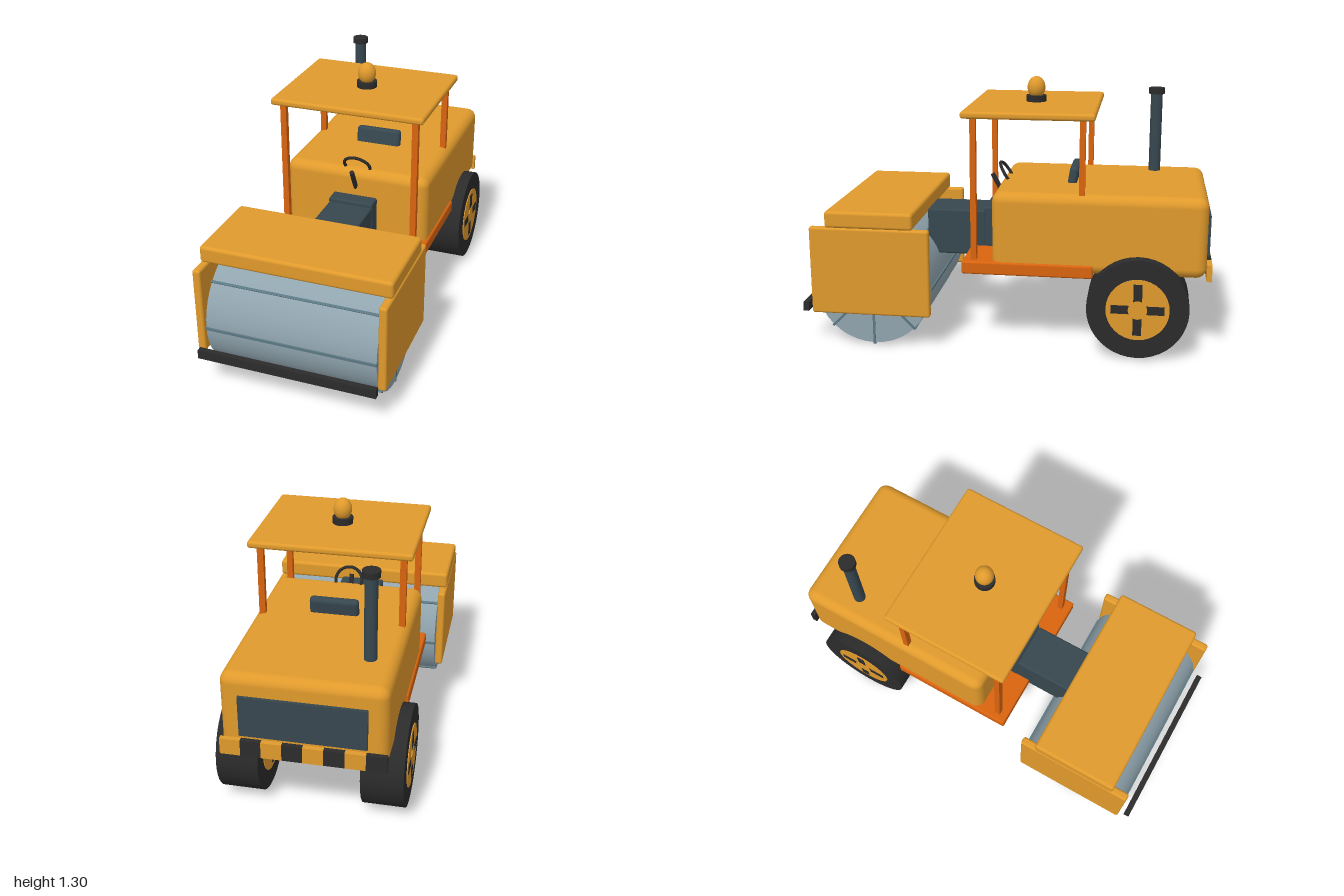
import * as THREE from 'three';
import { RoundedBoxGeometry } from 'three/addons/geometries/RoundedBoxGeometry.js';

const mat = (name, color) => {
  const m = new THREE.MeshStandardMaterial({ color });
  m.name = name;
  return m;
};

export function createModel() {
  const amber = mat('amber paint', 0xe09a2c);
  const orange = mat('orange paint', 0xd9640f);
  const slate = mat('dark slate', 0x37474f);
  const steel = mat('drum steel', 0x90a4ae);
  const darkSteel = mat('dark steel', 0x5b7882);
  const black = mat('black rubber', 0x2b2b2b);

  const model = new THREE.Group();
  model.name = 'roadRoller';

  const add = (name, geometry, material, x, y, z, parent = model) => {
    const mesh = new THREE.Mesh(geometry, material);
    mesh.name = name;
    mesh.position.set(x, y, z);
    parent.add(mesh);
    return mesh;
  };
  // Box given by its lower and upper limits, optionally rounded
  const box = (name, material, [x0, x1], [y0, y1], [z0, z1], r = 0) => {
    const size = [x1 - x0, y1 - y0, z1 - z0];
    const geometry = r ? new RoundedBoxGeometry(...size, 3, r) : new THREE.BoxGeometry(...size);
    return add(name, geometry, material, (x0 + x1) / 2, (y0 + y1) / 2, (z0 + z1) / 2);
  };
  const cyl = (r, h, sides = 32) => new THREE.CylinderGeometry(r, r, h, sides);
  const axial = (r, h, sides) => cyl(r, h, sides).rotateZ(Math.PI / 2);

  // Rear body, platform and articulated neck
  box('engineBody', amber, [-0.38, 0.38], [0.395, 0.79], [-0.975, 0.06], 0.05);
  box('platform', orange, [-0.39, 0.39], [0.38, 0.445], [-0.435, 0.205], 0.01);
  box('neckPivot', slate, [-0.117, 0.117], [0.395, 0.65], [0.04, 0.135], 0.01);
  box('neck', slate, [-0.115, 0.115], [0.395, 0.63], [0.13, 0.43], 0.01);

  // Canopy on four posts
  box('canopyRoof', amber, [-0.39, 0.39], [1.145, 1.18], [-0.435, 0.205], 0.014);
  for (const x of [-0.34, 0.34]) {
    for (const z of [0.15, -0.375]) {
      box('canopyPost', orange, [x - 0.015, x + 0.015], [0.44, 1.15], [z - 0.014, z + 0.014]);
    }
  }

  // Beacon
  add('beaconBase', cyl(0.05, 0.032), black, 0, 1.195, -0.115);
  add('beaconDome', new THREE.SphereGeometry(0.045, 24, 16), amber, 0, 1.25, -0.115).scale.y = 1.22;

  // Exhaust stack
  add('exhaustPipe', cyl(0.03, 0.44, 24), slate, -0.25, 0.98, -0.715);
  add('exhaustCap', cyl(0.041, 0.03, 24), black, -0.25, 1.21, -0.715);

  // Seat back and steering gear
  add('seatBack', new RoundedBoxGeometry(0.24, 0.16, 0.045, 3, 0.018), slate, 0, 0.79, -0.31)
    .rotation.x = -0.15;
  add('steeringColumn', cyl(0.012, 0.2, 16), black, 0, 0.712, 0.062).rotation.x = 0.5;
  add('steeringWheel', new THREE.TorusGeometry(0.068, 0.008, 10, 32), black, 0, 0.803, 0.03)
    .rotation.x = 0.57;

  // Rear grille and striped bumper
  box('rearGrille', slate, [-0.29, 0.29], [0.49, 0.69], [-0.99, -0.97]);
  const stripe = 0.76 / 8;
  for (let i = 0; i < 8; i++) {
    const x = -0.38 + i * stripe;
    box('bumperStripe', i % 2 ? amber : black, [x, x + stripe], [0.39, 0.47], [-1, -0.975]);
  }

  // Rear wheels: tyre, hub showing on both faces, and crossed slots
  for (const side of [-1, 1]) {
    const wheel = new THREE.Group();
    wheel.name = side > 0 ? 'leftWheel' : 'rightWheel';
    wheel.position.set(side * 0.34, 0.255, -0.655);
    model.add(wheel);
    add('tyre', axial(0.245, 0.2, 40), black, 0, 0, 0, wheel);
    add('hub', axial(0.152, 0.208, 32), amber, 0, 0, 0, wheel);
    add('hubSlot', new THREE.BoxGeometry(0.213, 0.256, 0.042), black, 0, 0, 0, wheel);
    add('hubSlot', new THREE.BoxGeometry(0.213, 0.042, 0.256), black, 0, 0, 0, wheel);
    add('hubCentre', axial(0.046, 0.217, 24), amber, 0, 0, 0, wheel);
  }

  // Front drum with eight ribs, made as four bars across the diameter
  const drum = new THREE.Group();
  drum.name = 'drum';
  drum.position.set(0, 0.3, 0.645);
  model.add(drum);
  add('drumShell', axial(0.29, 0.84, 40), steel, 0, 0, 0, drum);
  for (let i = 0; i < 4; i++) {
    add('drumRib', new THREE.BoxGeometry(0.845, 0.596, 0.012), darkSteel, 0, 0, 0, drum)
      .rotation.x = i * Math.PI / 4;
  }
  add('drumAxle', axial(0.135, 0.87, 24), slate, 0, 0, 0, drum);

  // Drum frame: side plates, hood and front scraper bar
  for (const side of [-1, 1]) {
    const xs = side > 0 ? [0.428, 0.468] : [-0.468, -0.428];
    box('drumSidePlate', amber, xs, [0.17, 0.61], [0.35, 0.945], 0.012);
  }
  box('drumHood', amber, [-0.468, 0.468], [0.608, 0.692], [0.428, 0.865], 0.016);
  box('frontBar', black, [-0.44, 0.44], [0.167, 0.212], [0.972, 1]);

  return model;
}
